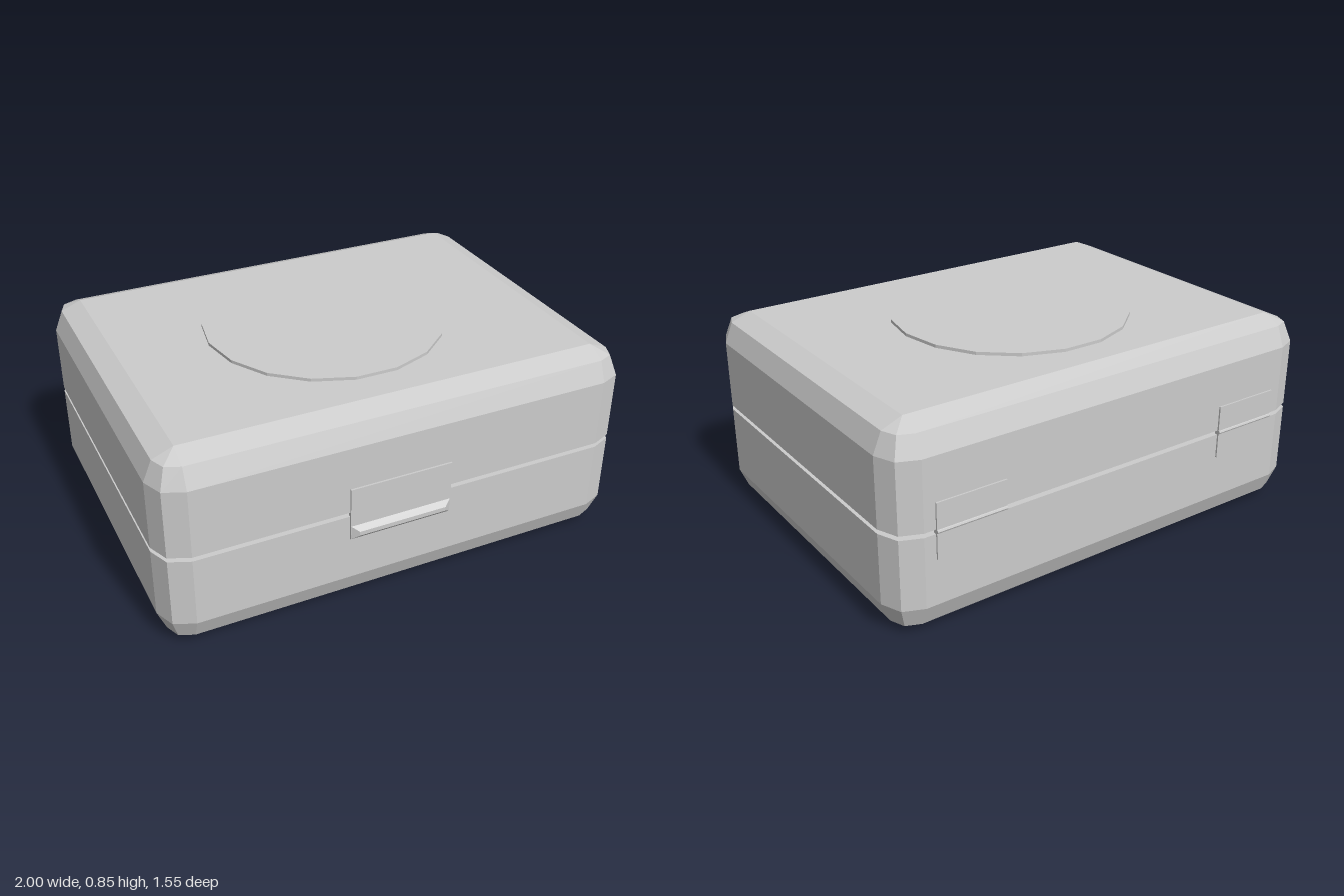
import * as THREE from 'three';

const HALF_X = 1, HALF_Z = 0.7525, MID_Z = -0.0075, R = 0.12;
const material = new THREE.MeshStandardMaterial({ color: 0xcccccc, flatShading: true });

function add(group, name, geometry, x = 0, y = 0, z = 0) {
  const mesh = new THREE.Mesh(geometry, material);
  mesh.name = name;
  mesh.position.set(x, y, z);
  group.add(mesh);
  return mesh;
}

// Loft closed rings of points, each counted from +x towards +z, bottom to top
function loft(rings) {
  const n = rings[0].length, out = [];
  const tri = (a, b, c) => {
    const area = b.clone().sub(a).cross(c.clone().sub(a)).length();
    if (area > 1e-8) for (const p of [a, b, c]) out.push(p.x, p.y, p.z);
  };
  for (let i = 0; i < rings.length - 1; i++) {
    const lo = rings[i], hi = rings[i + 1];
    for (let j = 0; j < n; j++) {
      const k = (j + 1) % n;
      tri(lo[j], hi[j], lo[k]);
      tri(lo[k], hi[j], hi[k]);
    }
  }
  const first = rings[0], last = rings[rings.length - 1];
  for (let j = 1; j < n - 1; j++) {
    tri(first[0], first[j], first[j + 1]);
    tri(last[0], last[j + 1], last[j]);
  }
  const g = new THREE.BufferGeometry();
  g.setAttribute('position', new THREE.Float32BufferAttribute(out, 3));
  g.computeVertexNormals();
  return g;
}

// Rectangle with two-facet corners, moved inwards by the inset
function caseRing([y, inset]) {
  const r = R - inset, ring = [];
  const signs = [[1, 1], [-1, 1], [-1, -1], [1, -1]];
  signs.forEach(([sx, sz], q) => {
    for (let s = 0; s <= 2; s++) {
      const a = (q + s / 2) * Math.PI / 2;
      ring.push(new THREE.Vector3(
        sx * (HALF_X - R) + r * Math.cos(a), y,
        MID_Z + sz * (HALF_Z - R) + r * Math.sin(a)));
    }
  });
  return ring;
}

function rectRing(w, d, y) {
  return [[1, 1], [-1, 1], [-1, -1], [1, -1]].map(([sx, sz]) =>
    new THREE.Vector3(sx * w / 2, y, sz * d / 2));
}

export function createModel() {
  const group = new THREE.Group();
  group.name = 'hingedCase';

  // Two halves with an inset rim showing in the seam
  add(group, 'base', loft([[0, R], [0.035, 0.035], [R, 0], [0.414, 0]].map(caseRing)));
  add(group, 'lid', loft([[0.432, 0], [0.72, 0], [0.805, 0.035], [0.84, R]].map(caseRing)));
  add(group, 'innerRim', loft([[0.405, 0.035], [0.44, 0.035]].map(caseRing)));

  // Raised round plate on the lid
  add(group, 'lidDisc', new THREE.CylinderGeometry(0.505, 0.505, 0.023, 18, 1, false, Math.PI / 2),
    -0.012, 0.8415, -0.012);

  // Front latch: thin plate with a bevelled finger lip
  const latch = new THREE.Group();
  latch.name = 'latch';
  latch.position.set(-0.0325, 0, 0.745);
  add(latch, 'latchPlate', new THREE.BoxGeometry(0.435, 0.23, 0.02), 0, 0.425, -0.002);
  const lip = loft([rectRing(0.435, 0.062, 0), rectRing(0.375, 0.018, 0.02)]);
  lip.rotateX(Math.PI / 2);
  add(latch, 'latchLip', lip, 0, 0.341, 0.007);
  group.add(latch);

  // Two rear hinges, each a plate with a slim pin
  for (const side of [-1, 1]) {
    const hinge = new THREE.Group();
    hinge.name = side > 0 ? 'leftHinge' : 'rightHinge';
    hinge.position.set(side * 0.682, 0.425, -0.76);
    add(hinge, 'hingePlate', new THREE.BoxGeometry(0.3, 0.23, 0.02), 0, 0, 0.003);
    const pin = new THREE.CylinderGeometry(0.009, 0.009, 0.3, 8);
    pin.rotateZ(Math.PI / 2);
    add(hinge, 'hingePin', pin, 0, 0, -0.004);
    group.add(hinge);
  }
  return group;
}
